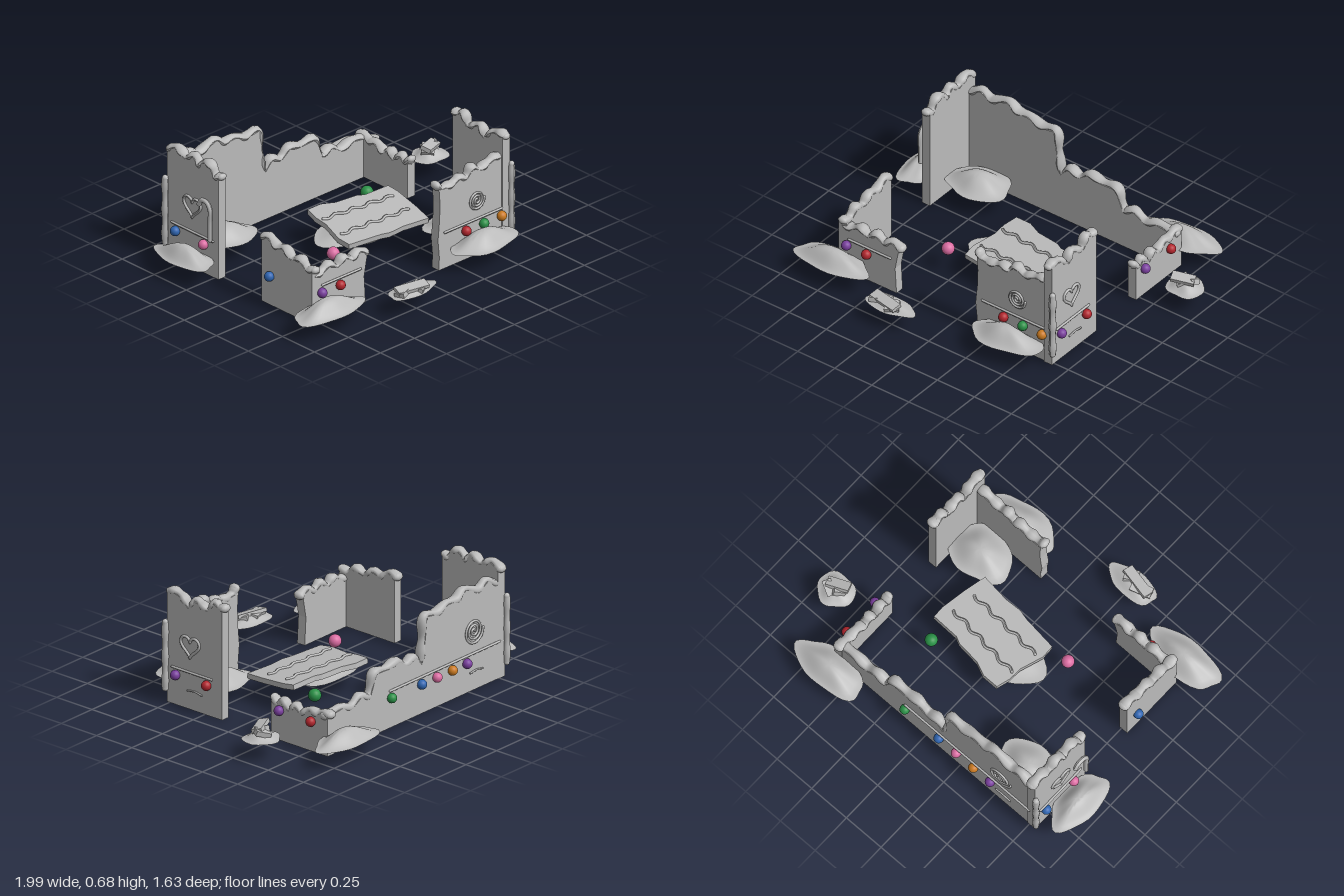
import * as THREE from 'three';
import { toCreasedNormals } from 'three/addons/utils/BufferGeometryUtils.js';

const mat = (name, color) => Object.assign(new THREE.MeshStandardMaterial({ color }), { name });
const V = (x, y, z = 0) => new THREE.Vector3(x, y, z);

export function createModel() {
  const model = new THREE.Group();
  model.name = 'ruinedCookieHouse';
  const grey = mat('grey', 0xbababa);
  const candy = {
    red: mat('red', 0xb3262e), purple: mat('purple', 0x7a3f9e), green: mat('green', 0x2a9147),
    blue: mat('blue', 0x2f66b2), orange: mat('orange', 0xcb7a20), pink: mat('pink', 0xdb6ca2),
  };
  const add = (parent, name, geo, m = grey) => {
    const mesh = new THREE.Mesh(geo, m);
    mesh.name = name;
    parent.add(mesh);
    return mesh;
  };

  // Tube with round ends and a gently swelling radius
  const rope = (parent, name, pts, r, swell = 0, wide = 1, closed = false) => {
    const g = new THREE.Group();
    g.name = name;
    const curve = new THREE.CatmullRomCurve3(pts, closed, 'centripetal');
    const segs = Math.max(24, pts.length * 6), sides = 8;
    const geo = new THREE.TubeGeometry(curve, segs, r, sides, closed);
    const pos = geo.attributes.position, v = V(0, 0);
    const size = (t) => 1 + swell * Math.sin(t * pts.length * 3.4 + pts[0].x * 9);
    for (let i = 0; i <= segs; i++) {
      const c = curve.getPointAt(i / segs);
      for (let j = 0; j <= sides; j++) {
        const k = i * (sides + 1) + j;
        v.fromBufferAttribute(pos, k).sub(c).multiplyScalar(size(i / segs)).add(c);
        pos.setXYZ(k, v.x, v.y, v.z);
      }
    }
    geo.computeVertexNormals();
    add(g, name + 'Body', geo);
    if (!closed) [0, 1].forEach((t) => {
      add(g, name + 'End', new THREE.SphereGeometry(r * size(t), 10, 8)).position.copy(curve.getPointAt(t));
    });
    g.scale.z = wide;
    parent.add(g);
    return g;
  };

  const ball = (parent, x, y, z, r, c) =>
    add(parent, 'candyBall', new THREE.SphereGeometry(r, 18, 12), candy[c]).position.set(x, y, z);

  // Wall in its own frame: u along, y up, outer face towards side * z
  const wall = (name, top, o) => {
    const g = new THREE.Group();
    g.name = name;
    const outline = [...(o.startEdge || [[top[0][0], 0]]), ...top.map(([u, y]) => [u, y - 0.022]),
      ...(o.endEdge || [[top[top.length - 1][0], 0]])];
    const shape = new THREE.Shape(outline.map((p) => new THREE.Vector2(...p)));
    const geo = new THREE.ExtrudeGeometry(shape, { depth: 0.054, bevelEnabled: false });
    add(g, 'cookiePanel', geo.translate(0, 0, -0.027));
    rope(g, 'icingEdge', top.map(([u, y]) => V(u, y - 0.02)), 0.02, 0.18, 1.45);
    const w = o.side * 0.031;
    if (o.strip) rope(g, 'icingStrip', o.strip.map((u) => V(u, 0.216, w)), 0.007);
    for (const [u, c] of o.balls || []) ball(g, u, 0.177, o.side * 0.04, 0.028, c);
    if (o.dash) {
      const d = o.dash;
      rope(g, 'icingDash', [V(d - 0.05, 0.105, w), V(d, 0.113, w), V(d + 0.05, 0.107, w)], 0.005);
    }
    if (o.heart) {
      const pts = [];
      for (let i = 0; i < 28; i++) {
        const a = (i / 28) * Math.PI * 2;
        const y = 13 * Math.cos(a) - 5 * Math.cos(2 * a) - 2 * Math.cos(3 * a) - Math.cos(4 * a);
        pts.push(V(o.heart + 0.0041 * 16 * Math.sin(a) ** 3, 0.37 + 0.0041 * y, w));
      }
      rope(g, 'icingHeart', pts, 0.008, 0, 1, true);
    }
    if (o.spiral) {
      const [u, y, R] = o.spiral, pts = [];
      for (let i = 0; i <= 36; i++) {
        const a = (i / 36) * Math.PI * 6, r = R * (0.08 + 0.92 * (i / 36));
        pts.push(V(u + o.side * r * Math.cos(a), y + r * Math.sin(a), w));
      }
      rope(g, 'icingSpiral', pts, 0.007);
    }
    g.position.set(o.x || 0, 0, o.z || 0);
    if (o.turned) g.rotation.y = -Math.PI / 2; // u runs along z
    model.add(g);
  };

  wall('backWall', [[-0.77, 0.58], [-0.73, 0.575], [-0.66, 0.615], [-0.6, 0.58], [-0.48, 0.62], [-0.42, 0.58],
    [-0.34, 0.585], [-0.26, 0.555], [-0.165, 0.57], [-0.145, 0.43], [-0.12, 0.305], [-0.07, 0.36], [0, 0.335],
    [0.06, 0.38], [0.15, 0.365], [0.25, 0.37], [0.3, 0.25], [0.37, 0.275], [0.44, 0.235], [0.53, 0.26], [0.64, 0.245]], {
    z: -0.59, side: -1, strip: [-0.75, -0.3, 0.145], spiral: [-0.54, 0.345, 0.075], dash: -0.56,
    balls: [[-0.475, 'purple'], [-0.355, 'orange'], [-0.23, 'pink'], [-0.105, 'blue'], [0.14, 'green']],
  });
  wall('frontWallRightSide', [[-0.77, 0.3], [-0.72, 0.3], [-0.655, 0.33], [-0.6, 0.3], [-0.545, 0.335], [-0.49, 0.305],
    [-0.435, 0.335], [-0.385, 0.31]], {
    z: 0.485, side: 1, strip: [-0.72, -0.6, -0.44], balls: [[-0.73, 'purple'], [-0.595, 'red']],
    endEdge: [[-0.395, 0.24], [-0.41, 0.16], [-0.405, 0.08], [-0.4, 0]],
  });
  wall('frontWallLeftSide', [[0.14, 0.525], [0.165, 0.5], [0.25, 0.495], [0.3, 0.515], [0.35, 0.5], [0.395, 0.545],
    [0.45, 0.515], [0.51, 0.53], [0.555, 0.545], [0.61, 0.54]], {
    z: 0.485, side: 1, strip: [0.18, 0.4, 0.6], spiral: [0.415, 0.33, 0.056],
    balls: [[0.33, 'red'], [0.46, 'green'], [0.59, 'orange']],
    startEdge: [[0.14, 0], [0.143, 0.08], [0.133, 0.18], [0.145, 0.3], [0.148, 0.4]],
  });
  wall('leftWallFront', [[0.128, 0.665], [0.16, 0.665], [0.19, 0.685], [0.238, 0.625], [0.285, 0.64], [0.326, 0.66],
    [0.37, 0.605], [0.427, 0.655], [0.48, 0.67], [0.52, 0.66]], {
    x: 0.627, side: -1, turned: true, strip: [0.2, 0.34, 0.48], heart: 0.352, dash: 0.32,
    balls: [[0.45, 'purple'], [0.23, 'red']],
  });
  wall('leftWallBack', [[-0.62, 0.255], [-0.577, 0.26], [-0.53, 0.24], [-0.485, 0.25], [-0.42, 0.215], [-0.38, 0.245],
    [-0.34, 0.205], [-0.286, 0.25], [-0.256, 0.22], [-0.22, 0.25]], {
    x: 0.627, side: -1, turned: true, balls: [[-0.285, 'purple'], [-0.51, 'red']],
  });
  wall('rightWallBack', [[-0.62, 0.655], [-0.565, 0.685], [-0.53, 0.67], [-0.485, 0.65], [-0.42, 0.685], [-0.38, 0.645],
    [-0.335, 0.68], [-0.286, 0.665], [-0.256, 0.62], [-0.22, 0.63]], {
    x: -0.765, side: 1, turned: true, strip: [-0.58, -0.4, -0.26], heart: -0.42,
    balls: [[-0.545, 'blue'], [-0.325, 'pink']],
  });
  wall('rightWallFront', [[0.115, 0.4], [0.16, 0.415], [0.22, 0.375], [0.28, 0.39], [0.34, 0.35], [0.41, 0.37],
    [0.46, 0.33], [0.51, 0.34]], { x: -0.765, side: 1, turned: true, balls: [[0.19, 'blue']] });

  // Icing posts on two corners and a broken cane on a side wall
  for (const [x, z] of [[0.662, 0.524], [-0.802, -0.625]])
    rope(model, 'cornerIcing', [0.08, 0.18, 0.28, 0.38, 0.465].map((y) => V(x, y, z)), 0.019, 0.12);
  rope(model, 'candyCane', [V(-0.825, 0.24, -0.25), V(-0.825, 0.34, -0.25), V(-0.825, 0.42, -0.25),
    V(-0.825, 0.455, -0.275), V(-0.825, 0.455, -0.315), V(-0.825, 0.425, -0.335)], 0.014);

  // Snow mounds: bell profile with a wobbly rim
  const mound = (x, z, rx, rz, h, seed) => {
    const prof = [new THREE.Vector2(0, 0)];
    for (let i = 0; i <= 10; i++) {
      const r = 1 - i / 10;
      prof.push(new THREE.Vector2(r, h * (0.5 + 0.5 * Math.cos(Math.PI * r ** 1.15))));
    }
    const geo = new THREE.LatheGeometry(prof, 32);
    const p = geo.attributes.position;
    for (let i = 0; i < p.count; i++) {
      const a = Math.atan2(p.getZ(i), p.getX(i));
      const k = 0.98 + 0.05 * Math.sin(3 * a + seed) + 0.04 * Math.sin(5 * a + seed * 2.3);
      p.setXYZ(i, p.getX(i) * k * rx, p.getY(i), p.getZ(i) * k * rz);
    }
    add(model, 'snowMound', toCreasedNormals(geo, 0.9)).position.set(x, 0.11, z);
  };
  [[-0.76, 0.605, 0.24, 0.115, 0.078], [0.4, 0.59, 0.23, 0.12, 0.078], [0.45, 0.32, 0.2, 0.15, 0.075],
    [-0.56, -0.42, 0.195, 0.15, 0.075], [-0.89, -0.38, 0.11, 0.205, 0.075], [0.61, -0.71, 0.23, 0.115, 0.068],
    [-0.02, 0.01, 0.25, 0.17, 0.04], [0.885, -0.355, 0.112, 0.1, 0.045], [-0.27, 0.735, 0.16, 0.08, 0.03],
  ].forEach((m, i) => mound(...m, i * 1.7 + 0.4));

  // Fallen roof slab with two wavy icing lines
  const slab = new THREE.Group();
  slab.name = 'fallenRoofSlab';
  const rim = [[-0.145, -0.215], [-0.05, -0.215], [0.03, -0.18], [0.17, -0.165], [0.21, -0.145], [0.375, -0.14],
    [0.38, -0.07], [0.36, 0.09], [0.335, 0.225], [0.165, 0.205], [0.065, 0.21], [0.01, 0.195], [-0.2, 0.17],
    [-0.205, 0.09], [-0.165, -0.05], [-0.165, -0.13]];
  const slabShape = new THREE.Shape(rim.map(([x, z]) => new THREE.Vector2(x, -z)));
  const slabGeo = new THREE.ExtrudeGeometry(slabShape, { depth: 0.03, bevelEnabled: false });
  add(slab, 'slabPanel', slabGeo.rotateX(-Math.PI / 2));
  for (const [x0, z0, z1] of [[-0.145, -0.095, -0.045], [-0.165, 0.07, 0.1]]) {
    const pts = [];
    for (let i = 0; i <= 28; i++) {
      const t = i / 28;
      pts.push(V(x0 + t * 0.465, 0.033, z0 + (z1 - z0) * t + 0.011 * Math.sin(t * Math.PI * 8)));
    }
    rope(slab, 'wavyIcing', pts, 0.008);
  }
  slab.position.set(0, 0.142, 0);
  slab.rotation.x = 0.13;
  model.add(slab);

  // Cookie rubble: [x, y, z, width, height, depth, tilt x, turn y, tilt z]
  for (const [x, y, z, w, h, d, a, b, c] of [
    [0.88, 0.175, -0.34, 0.13, 0.024, 0.06, 0.3, 0.35, -0.2], [0.91, 0.155, -0.38, 0.09, 0.03, 0.05, -0.2, -0.5, 0.25],
    [0.87, 0.15, -0.35, 0.07, 0.04, 0.07, 0.2, 0.8, 0.3], [-0.29, 0.142, 0.755, 0.19, 0.02, 0.06, 0.25, -0.2, 0.06],
    [-0.33, 0.13, 0.74, 0.12, 0.026, 0.06, -0.2, 0.3, 0.15], [-0.24, 0.132, 0.76, 0.08, 0.024, 0.07, 0.3, 0.5, -0.1],
  ]) {
    const chunk = add(model, 'cookieRubble', new THREE.BoxGeometry(w, h, d));
    chunk.position.set(x, y, z);
    chunk.rotation.set(a, b, c);
  }

  // Loose candy balls on the floor
  ball(model, 0.31, 0.137, -0.23, 0.036, 'green');
  ball(model, -0.315, 0.137, 0.17, 0.036, 'pink');
  return model;
}
